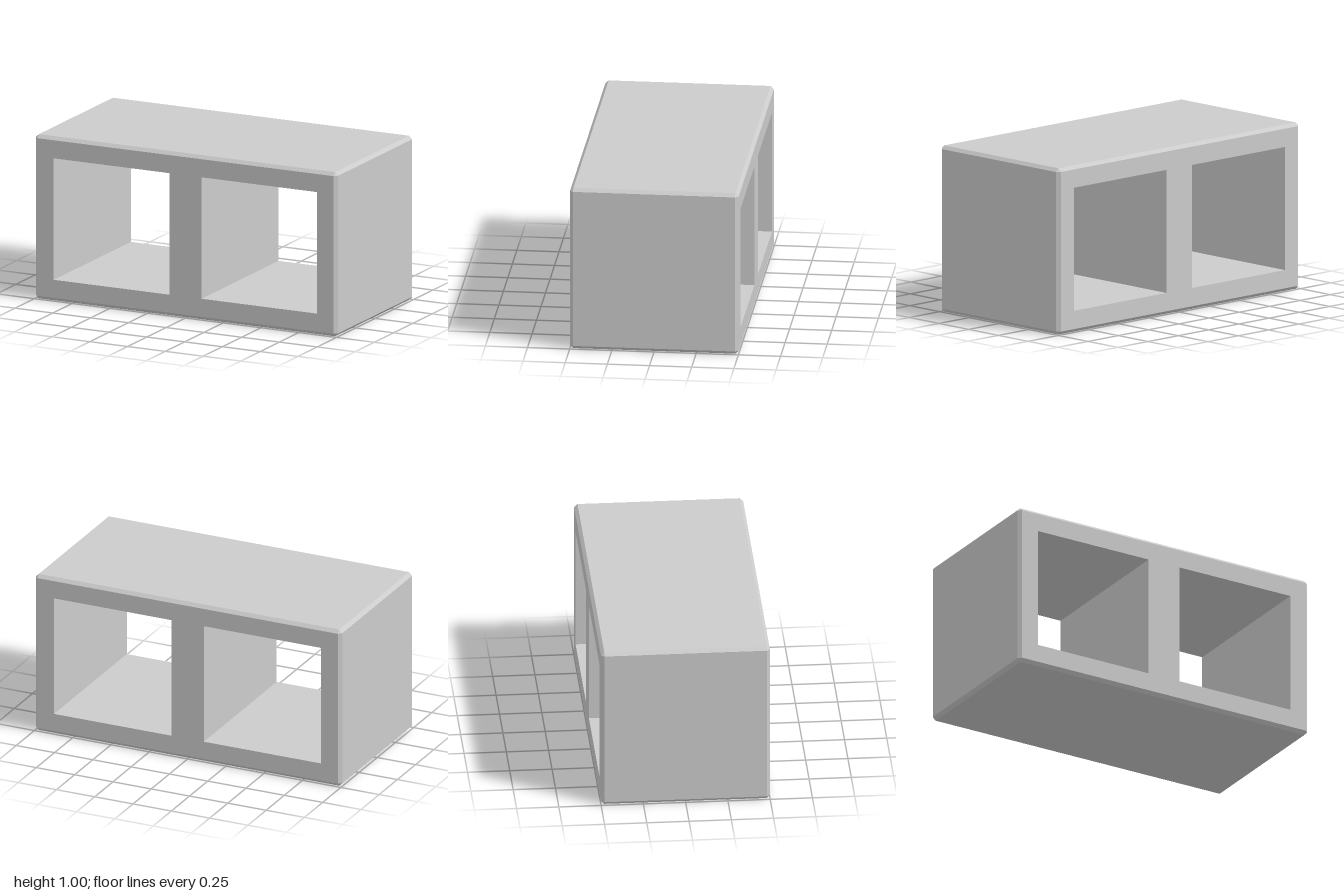
import * as THREE from 'three';

const W = 1, H = 0.5, D = 0.5, C = 0.02; // half width, height, depth and chamfer
const material = new THREE.MeshStandardMaterial({ color: 0xcccccc, flatShading: true });

// Joins rings of [x, y, z] points (counter-clockwise, back to front) with flat faces
function loft(rings) {
  const pos = [];
  const same = (a, b) => a.every((v, i) => v === b[i]);
  const tri = (a, b, c) => {
    if (!same(a, b) && !same(b, c) && !same(a, c)) pos.push(...a, ...b, ...c);
  };
  for (let r = 0; r < rings.length - 1; r++) {
    const p = rings[r], q = rings[r + 1], n = p.length;
    for (let i = 0; i < n; i++) {
      const j = (i + 1) % n;
      tri(p[i], p[j], q[j]);
      tri(p[i], q[j], q[i]);
    }
  }
  const geo = new THREE.BufferGeometry();
  geo.setAttribute('position', new THREE.Float32BufferAttribute(pos, 3));
  geo.computeVertexNormals();
  return geo;
}

const rect = (x0, x1, y0, y1) => [[x0, y0], [x1, y0], [x1, y1], [x0, y1]];
const atZ = (points, z) => points.map(([x, y]) => [x, y, z]);

export function createModel() {
  const block = new THREE.Group();
  block.name = 'hollowBlock';
  const add = (name, geo) => {
    const mesh = new THREE.Mesh(geo, material);
    mesh.name = name;
    mesh.position.y = H;
    block.add(mesh);
    return mesh;
  };

  // Outer shell: eight-cornered section closing to the inset rectangle at both ends
  const w = W - C, h = H - C, d = D - C;
  const section = [[-w, -H], [w, -H], [W, -h], [W, h], [w, H], [-w, H], [-W, h], [-W, -h]];
  const inset = section.map(([x, y]) => [Math.sign(x) * w, Math.sign(y) * h]);
  add('outerShell', loft([atZ(inset, -D), atZ(section, -d), atZ(section, d), atZ(inset, D)]));

  // Two square cells running right through, with sharp rims
  const cells = [rect(0.106, 0.872, -0.37, 0.37), rect(-0.872, -0.106, -0.37, 0.37)];
  cells.forEach((cell, i) => {
    const inward = [...cell].reverse();
    add(i ? 'rightCellWalls' : 'leftCellWalls', loft([atZ(inward, -D), atZ(inward, D)]));
  });

  // Front and back faces with the cell openings
  const toPoints = (list) => list.map(([x, y]) => new THREE.Vector2(x, y));
  const face = new THREE.Shape(toPoints(rect(-w, w, -h, h)));
  face.holes = cells.map((cell) => new THREE.Path(toPoints(cell)));
  const faceGeo = new THREE.ShapeGeometry(face);
  add('frontFace', faceGeo).position.z = D;
  const back = add('backFace', faceGeo);
  back.position.z = -D;
  back.rotation.y = Math.PI;

  return block;
}
